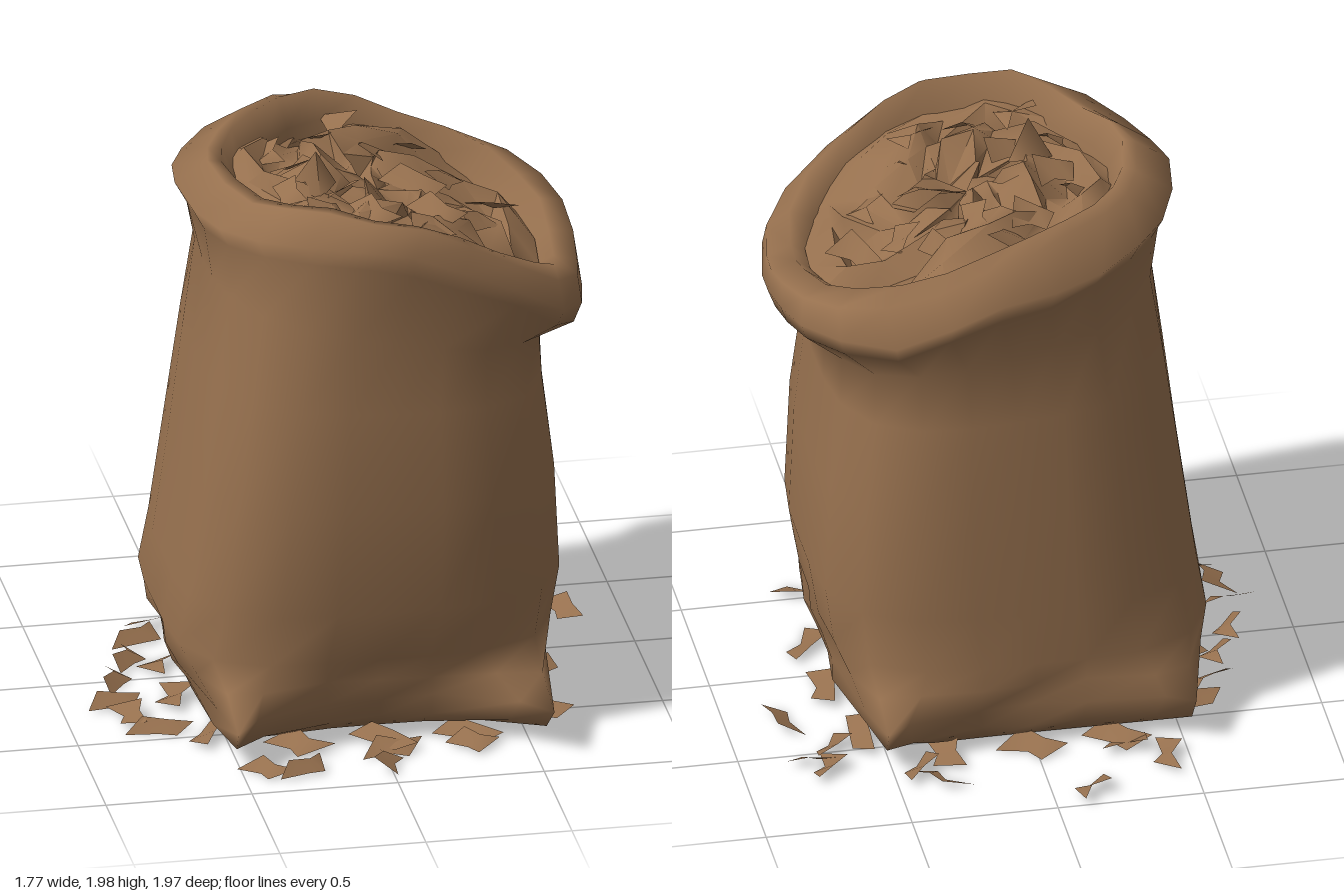
import * as THREE from 'three';
import { toCreasedNormals } from 'three/addons/utils/BufferGeometryUtils.js';

// small seeded generator
let seed = 7;
const rnd = () => {
  seed = (seed * 16807) % 2147483647;
  return seed / 2147483647;
};
const jit = (a) => (rnd() - 0.5) * 2 * a;
const step = THREE.MathUtils.smoothstep;

// height of the slanting mouth across x
const MOUTH = [[-0.6, 1.94], [-0.4, 1.93], [-0.15, 1.95], [0.2, 1.89], [0.45, 1.76], [0.65, 1.64], [0.85, 1.6]];
function mouthHeight(x) {
  if (x <= MOUTH[0][0]) return MOUTH[0][1];
  for (let i = 1; i < MOUTH.length; i++) {
    const [x0, y0] = MOUTH[i - 1], [x1, y1] = MOUTH[i];
    if (x <= x1) return THREE.MathUtils.lerp(y0, y1, (x - x0) / (x1 - x0));
  }
  return MOUTH[MOUTH.length - 1][1];
}

// point on a squarish loop inside the bounds, n sets how square it is
function loopPoint(t, x0, x1, z0, z1, n) {
  const c = Math.cos(t), s = Math.sin(t);
  const r = Math.pow(Math.abs(c) ** n + Math.abs(s) ** n, -1 / n);
  return new THREE.Vector3((x0 + x1) / 2 + (c * r * (x1 - x0)) / 2, 0, (z0 + z1) / 2 + (s * r * (z1 - z0)) / 2);
}

// skin over closed loops, listed along the surface
function loft(rows, sides, place) {
  const pos = [], index = [];
  for (let j = 0; j < rows; j++) {
    for (let i = 0; i < sides; i++) {
      const p = place(j, (i / sides) * Math.PI * 2);
      pos.push(p.x, p.y, p.z);
      if (j === rows - 1) continue;
      const a = j * sides + i, b = j * sides + ((i + 1) % sides);
      index.push(a, a + sides, b, b, a + sides, b + sides);
    }
  }
  const g = new THREE.BufferGeometry();
  g.setAttribute('position', new THREE.Float32BufferAttribute(pos, 3));
  g.setIndex(index);
  g.computeVertexNormals();
  return g;
}

// pulled-out bottom corners of the sack: angle, x, z
const EARS = [[0.25, 0.56, 0.87], [0.75, -0.52, 0.86], [1.25, -0.54, -0.66], [1.75, 0.52, -0.69]];

// sack loops: y, slope along x, x0, x1, z0, z1, squareness, ear strength
const BODY = [
  [0.06, 0, 0, 0.01, 0, 0.01, 3, 0],
  [0.045, 0, -0.55, 0.56, -0.55, 0.58, 4, 0.25],
  [0.09, 0, -0.58, 0.6, -0.57, 0.62, 4, 0.8],
  [0.17, 0, -0.61, 0.62, -0.58, 0.65, 4, 1],
  [0.25, 0, -0.64, 0.63, -0.58, 0.67, 4, 0.45],
  [0.33, 0, -0.66, 0.65, -0.58, 0.69, 4, 0],
  [0.52, 0, -0.635, 0.68, -0.57, 0.735, 3.6, 0],
  [0.9, 0, -0.585, 0.66, -0.55, 0.75, 3.5, 0],
  [1.25, -0.05, -0.54, 0.625, -0.52, 0.73, 3.2, 0],
  [1.5, -0.19, -0.5, 0.625, -0.5, 0.7, 2.9, 0],
];
// rolled mouth loops: drop below mouth height, x0, x1, z0, z1, squareness
const RIM = [
  [0.16, -0.54, 0.76, -0.575, 0.72, 2.8],
  [0.09, -0.58, 0.785, -0.6, 0.735, 2.8],
  [0.01, -0.47, 0.775, -0.52, 0.67, 2.6],
  [0.0, -0.43, 0.69, -0.47, 0.66, 2.5],
  [0.1, -0.38, 0.61, -0.42, 0.62, 2.4],
  [0.25, -0.36, 0.57, -0.4, 0.58, 2.4],
];

function sackPoint(j, t) {
  if (j < BODY.length) {
    const [y, slope, x0, x1, z0, z1, n, ear] = BODY[j];
    const p = loopPoint(t, x0, x1, z0, z1, n);
    p.y = y + slope * p.x;
    // crumpled cloth round the foot
    if (j > 1 && j < 5) {
      const dent = 1 + 0.025 * Math.sin(9 * t + j * 1.9);
      p.x *= dent;
      p.z *= dent;
    }
    for (const [a, x, z] of EARS) {
      const w = Math.max(0, 1 - Math.abs(t - a * Math.PI) / 0.55) * ear;
      p.x += (x - p.x) * w;
      p.z += (z - p.z) * w;
    }
    return p;
  }
  const [drop, x0, x1, z0, z1, n] = RIM[j - BODY.length];
  const p = loopPoint(t, x0, x1, z0, z1, Math.cos(t) < 0 ? n - 0.6 : n);
  // uneven folds around the mouth
  const wave = 0.5 * Math.sin(5 * t + 0.8 + j * 0.3) + 0.5 * Math.sin(8 * t + j * 0.7);
  p.y = mouthHeight(p.x) - drop + wave * 0.018;
  p.x *= 1 + wave * 0.015;
  p.z *= 1 + wave * 0.015;
  // on the low side the lip sags toward the front and lifts toward the back
  const low = step(p.x, 0.4, 0.72);
  p.y += low * (0.04 * step(-p.z, -0.1, 0.3) - 0.06 * step(p.z, -0.1, 0.3));
  // the back edge rolls down
  p.y -= 0.07 * step(-p.z, 0.42, 0.6) * (1 - low);
  return p;
}

// lumpy fill: loops shrinking to the middle
function soilPoint(j, t) {
  const k = 1 - j / 7;
  const p = loopPoint(t, 0.1 - 0.52 * k, 0.1 + 0.54 * k, 0.1 - 0.55 * k, 0.1 + 0.54 * k, 2.3);
  const loose = j === 0 || j === 7 ? 0 : 1;
  p.x += jit(0.04) * loose;
  p.z += jit(0.04) * loose;
  p.y = mouthHeight(p.x) - 0.1 + 0.03 * Math.sin(7 * p.x + 3) * Math.cos(8 * p.z) + jit(0.065) * loose;
  return p;
}

// crumpled flake: a bent, pointed zigzag strip
function flakeGeometry(len, wid, lift) {
  const l = len / 2, w = wid / 2;
  const pts = [
    [-l, 0, jit(w)], [-l * 0.35, lift, -w], [-l * 0.1, 0, w * 0.5],
    [l * 0.3, lift * 0.8, -w * 0.2], [l * 0.35, 0, w * 1.2], [l, lift * 0.5, jit(w)],
  ];
  const g = new THREE.BufferGeometry();
  g.setAttribute('position', new THREE.Float32BufferAttribute(pts.flat(), 3));
  g.setIndex([0, 2, 1, 1, 2, 3, 2, 4, 3, 3, 4, 5]);
  return toCreasedNormals(g, 0.9);
}

// spilled flakes: x, z, turn
const SPILL = [
  [-0.43, -0.74, 1.4], [-0.31, -0.67, 0.5], [-0.14, -0.92, 0.8], [0.36, -0.76, -0.7],
  [0.4, -0.68, 1.2], [0.7, -0.62, 1.3], [0.74, -0.57, 0.1], [0.66, -0.48, 1.3],
  [0.81, -0.29, -1.0], [-0.71, -0.13, 1.2], [-0.64, -0.3, 0.9], [-0.78, 0.03, 1.4],
  [-0.82, 0.2, 0.4], [-0.78, 0.32, -1.3], [-0.71, 0.43, 0.2], [-0.42, 0.84, -0.7],
  [-0.29, 0.87, 0.7], [-0.01, 0.86, 1.5], [0.03, 0.74, 0.1], [0.3, 0.75, -0.3],
];

export function createModel() {
  seed = 7;
  const brown = new THREE.MeshStandardMaterial({ color: 0x96704e, side: THREE.DoubleSide });
  brown.name = 'earthy brown';
  const model = new THREE.Group();
  model.name = 'openSack';
  const add = (name, geometry, parent = model) => {
    const mesh = new THREE.Mesh(geometry, brown);
    mesh.name = name;
    parent.add(mesh);
    return mesh;
  };

  // sack and fill
  add('sack', loft(BODY.length + RIM.length, 24, sackPoint));
  add('soilFill', toCreasedNormals(loft(8, 20, soilPoint), 1.0));

  // loose clods lying on the fill
  const clods = new THREE.Group();
  clods.name = 'looseClods';
  model.add(clods);
  for (let i = 0; i < 16; i++) {
    const a = i * 2.4, r = 0.12 + 0.32 * Math.sqrt(i / 16);
    const clod = add('clod', flakeGeometry(0.14 + rnd() * 0.1, 0.1 + rnd() * 0.05, 0.06), clods);
    clod.position.set(0.1 + Math.cos(a) * r, 0, 0.1 + Math.sin(a) * r);
    clod.position.y = mouthHeight(clod.position.x) - 0.09;
    clod.rotation.set(0, a * 1.7, -0.2);
  }
  // one upright shard poking above the mouth
  const shard = add('uprightShard', new THREE.ConeGeometry(0.09, 0.14, 3), clods);
  shard.position.set(-0.13, 1.93, 0.2);

  // flakes spilled around the foot
  const spill = new THREE.Group();
  spill.name = 'spilledFlakes';
  model.add(spill);
  const drop = (x, z, turn, len, wid) => {
    const flake = add('flake', flakeGeometry(len, wid, 0.04), spill);
    flake.position.set(x, 0.015 + rnd() * 0.015, z);
    flake.rotation.y = turn;
  };
  for (const [x, z, turn] of SPILL) drop(x, z, turn, 0.18 + rnd() * 0.06, 0.08 + rnd() * 0.03);
  // a ring of flakes caught under the sack's edge
  for (let i = 0; i < 14; i++) {
    const t = ((i + 0.5) / 14) * Math.PI * 2;
    const p = loopPoint(t, -0.6, 0.62, -0.6, 0.68, 4);
    drop(p.x, p.z, -t + 1.2 + jit(0.5), 0.24, 0.13);
  }
  return model;
}
